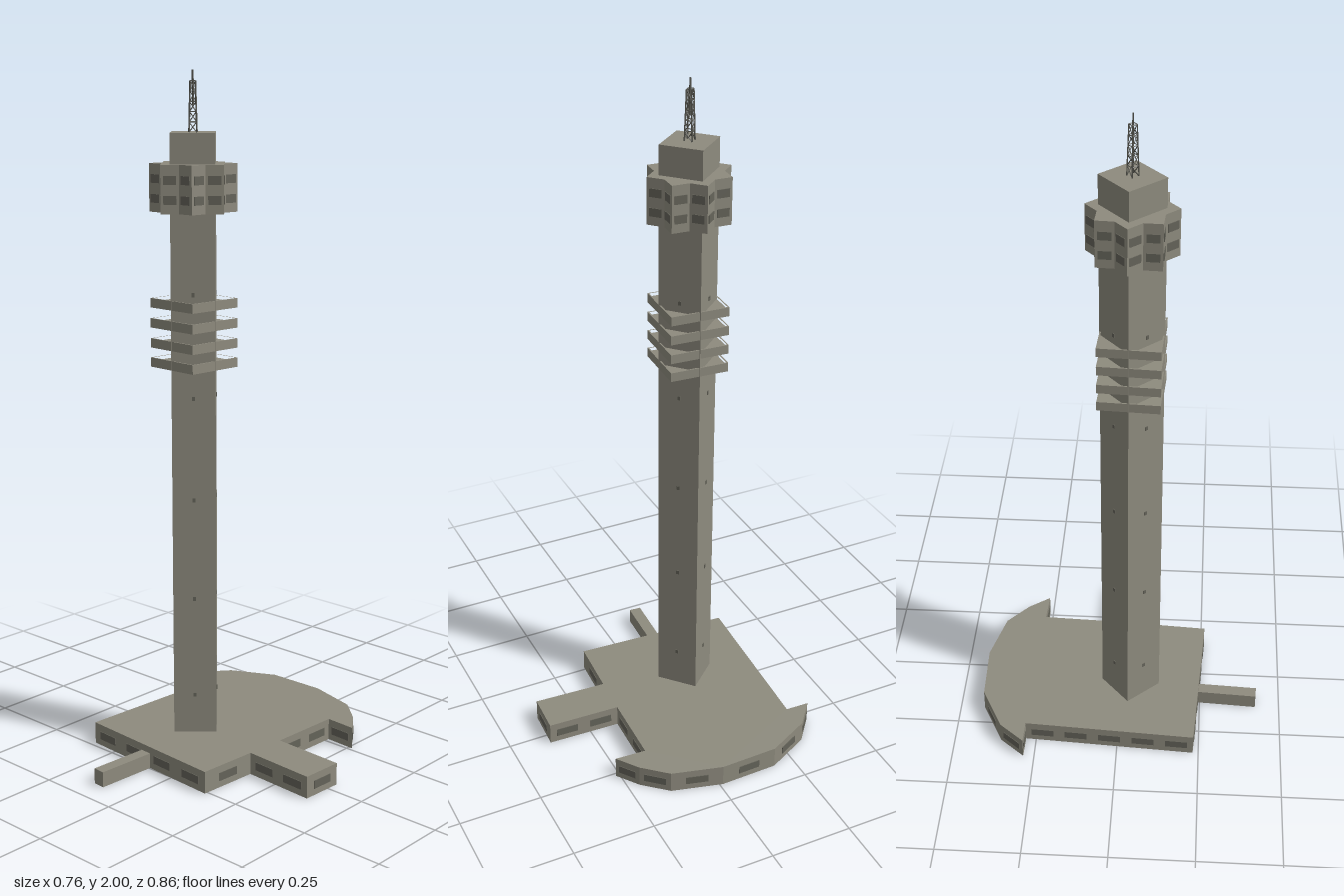
import * as THREE from 'three';

const material = (name, color) => Object.assign(new THREE.MeshStandardMaterial({ color }), { name });
const concrete = material('concrete', 0x8e8b7e);
const glass = material('dark window', 0x65645a);
const steel = material('mast steel', 0x55554e);

const CX = -0.11, CZ = 0.031, TURN = 0.056; // tower axis and its slight turn

// Ring of [x, z] points about the tower axis, alternating between the given radii
function ring(count, radii, offset = 0) {
  return Array.from({ length: count }, (_, i) => {
    const a = TURN + offset + (i / count) * Math.PI * 2, r = radii[i % radii.length];
    return [CX + r * Math.cos(a), CZ + r * Math.sin(a)];
  });
}

// Upright prism over an [x, z] outline, optionally with a hole
function prism(name, pts, y0, y1, mat, hole) {
  const flat = (list) => list.map(([x, z]) => new THREE.Vector2(x, -z));
  const shape = new THREE.Shape(flat(pts));
  if (hole) shape.holes.push(new THREE.Path(flat(hole)));
  const geo = new THREE.ExtrudeGeometry(shape, { depth: y1 - y0, bevelEnabled: false });
  geo.rotateX(-Math.PI / 2).translate(0, y0, 0);
  const mesh = new THREE.Mesh(geo, mat);
  mesh.name = name;
  return mesh;
}

// Thin window plates spread evenly along every wall of an outline
function windows(name, pts, y, height, width, pitch) {
  const group = new THREE.Group();
  group.name = name;
  pts.forEach(([ax, az], i) => {
    const [bx, bz] = pts[(i + 1) % pts.length];
    const length = Math.hypot(bx - ax, bz - az);
    const n = Math.max(1, Math.floor(length / pitch));
    const w = Math.min(width, length * 0.7);
    for (let k = 0; k < n; k++) {
      const t = (k + 0.5) / n;
      const pane = new THREE.Mesh(new THREE.BoxGeometry(w, height, 0.004), glass);
      pane.position.set(ax + (bx - ax) * t, y, az + (bz - az) * t);
      pane.rotation.y = -Math.atan2(bz - az, bx - ax);
      pane.name = 'window';
      group.add(pane);
    }
  });
  return group;
}

// Thin square bar between two points
function bar(a, b, size) {
  const from = new THREE.Vector3(...a), to = new THREE.Vector3(...b);
  const mesh = new THREE.Mesh(new THREE.BoxGeometry(size, from.distanceTo(to), size), steel);
  mesh.position.copy(from).lerp(to, 0.5);
  mesh.quaternion.setFromUnitVectors(new THREE.Vector3(0, 1, 0), to.sub(from).normalize());
  mesh.name = 'mastBar';
  return mesh;
}

// Lattice mast: four posts, rings with diagonals, and a spike
function buildMast() {
  const mast = new THREE.Group();
  mast.name = 'mast';
  const y0 = 1.83, y1 = 1.97, levels = 5;
  const radius = (y) => 0.0155 - 0.005 * (y - y0) / (y1 - y0);
  const corner = (i, y) => {
    const [x, z] = ring(4, [radius(y)])[i % 4];
    return [x, y, z];
  };
  for (let i = 0; i < 4; i++) {
    mast.add(bar(corner(i, y0), corner(i, y1), 0.003));
    for (let k = 0; k < levels; k++) {
      const lo = y0 + (y1 - y0) * k / levels, hi = y0 + (y1 - y0) * (k + 1) / levels;
      mast.add(bar(corner(i, hi), corner(i + 1, hi), 0.002));
      mast.add(bar(corner(i + k % 2, lo), corner(i + 1 - k % 2, hi), 0.002));
    }
  }
  mast.add(bar([CX, 1.9, CZ], [CX, 2, CZ], 0.004));
  return mast;
}

export function createModel() {
  const model = new THREE.Group();
  model.name = 'tower';

  // Low base building with its side wing and curved back
  const base = [
    [-0.34, 0.233], [0.142, 0.26], [0.153, 0.078], [0.375, 0.089], [0.381, -0.037],
    [0.16, -0.045], [0.168, -0.265], [0.262, -0.26], [0.215, -0.325], [0.142, -0.39],
    [-0.01, -0.43], [-0.187, -0.425], [-0.32, -0.358], [-0.382, -0.283], [-0.31, -0.281],
  ];
  model.add(prism('baseBuilding', base, 0, 0.066, concrete));
  model.add(windows('baseWindows', base, 0.032, 0.024, 0.068, 0.098));

  // Narrow entrance passage at the front
  const passage = [[-0.127, 0.245], [-0.091, 0.247], [-0.1, 0.427], [-0.137, 0.425]];
  model.add(prism('entrancePassage', passage, 0, 0.046, concrete));

  // Square shaft set cornerwise, with small windows
  const shaft = ring(4, [0.089]);
  model.add(prism('shaft', shaft, 0.06, 1.83, concrete));
  for (const y of [0.185, 0.485, 0.785, 1.085, 1.382]) {
    model.add(windows('shaftWindows', shaft, y, 0.012, 0.009, 1));
  }

  // Four antenna platforms, each a slab with a low rim
  const deck = ring(4, [0.124], Math.PI / 4), inside = ring(4, [0.118], Math.PI / 4);
  for (const y of [1.166, 1.222, 1.28, 1.338]) {
    model.add(prism('platform', deck, y, y + 0.016, concrete));
    model.add(prism('platformRim', deck, y + 0.016, y + 0.027, concrete, inside));
  }

  // Eight-pointed star head with two window rows
  const star = ring(16, [0.124, 0.095]);
  model.add(prism('starHead', star, 1.61, 1.745, concrete));
  for (const y of [1.648, 1.703]) {
    model.add(windows('headWindows', star, y, 0.024, 0.036, 1));
  }

  model.add(buildMast());
  return model;
}
